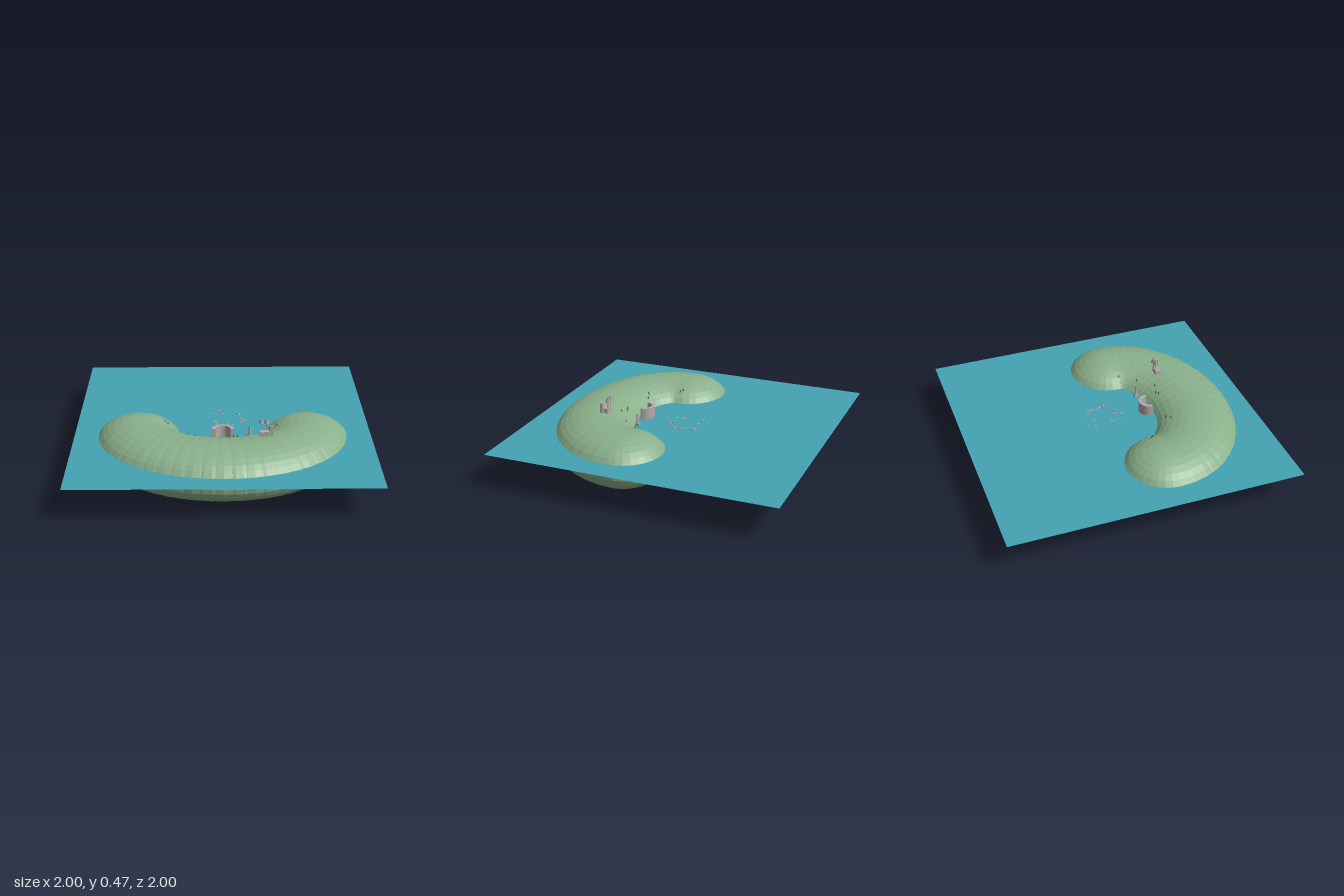
import * as THREE from 'three';

const WATER_Y = 0.247;

function material(name, color, extra = {}) {
  const m = new THREE.MeshStandardMaterial({ color, ...extra });
  m.name = name;
  return m;
}

export function createModel() {
  const water = material('water', 0x44a3b3, { side: THREE.DoubleSide });
  const grass = material('grass', 0x8ab08b, { flatShading: true });
  const stone = material('stone', 0xb4aba6, { flatShading: true });
  const roof = material('roof', 0x8c8688, { flatShading: true });
  const shrub = material('shrub', 0x4c6650, { flatShading: true });

  const model = new THREE.Group();
  model.name = 'crescentIsland';

  function add(parent, name, geometry, mat, x = 0, y = 0, z = 0) {
    const mesh = new THREE.Mesh(geometry, mat);
    mesh.name = name;
    mesh.position.set(x, y, z);
    parent.add(mesh);
    return mesh;
  }
  function group(name) {
    const g = new THREE.Group();
    g.name = name;
    model.add(g);
    return g;
  }

  // Flat sea surface
  add(model, 'sea', new THREE.PlaneGeometry(2, 2).rotateX(-Math.PI / 2), water, 0, WATER_Y, 0);

  // Island: overlapping flattened spheres along half an ellipse
  const island = group('island');
  const mound = new THREE.SphereGeometry(1, 32, 16).scale(0.292, 0.179, 0.292);
  const STEPS = 24;
  for (let i = 0; i <= STEPS; i++) {
    const a = (i / STEPS) * Math.PI;
    add(island, 'mound', mound, grass, 0.568 * Math.cos(a), 0.18, 0.2 + 0.4 * Math.sin(a));
  }

  // Curved harbour wall, open towards the island
  const arc = new THREE.Shape();
  arc.absarc(0, 0, 0.073, 0, Math.PI, false);
  arc.absarc(0, 0, 0.05, Math.PI, 0, true);
  const wall = new THREE.ExtrudeGeometry(arc, { depth: 0.08, bevelEnabled: false, curveSegments: 12 });
  wall.rotateX(-Math.PI / 2);
  add(model, 'harbourWall', wall, stone, 0, WATER_Y, 0.305);

  // Small beacon at the shore
  const beacon = group('beacon');
  beacon.position.set(0.18, WATER_Y, 0.278);
  add(beacon, 'beaconBase', new THREE.BoxGeometry(0.028, 0.02, 0.028), stone, 0, 0.01, 0);
  add(beacon, 'beaconShaft', new THREE.CylinderGeometry(0.007, 0.011, 0.05, 8), stone, 0, 0.045, 0);
  add(beacon, 'beaconCap', new THREE.ConeGeometry(0.011, 0.02, 8), roof, 0, 0.08, 0);

  // Hilltop shrine: plinth, two roofed posts and a standing slab
  const shrine = group('shrine');
  add(shrine, 'plinth', new THREE.BoxGeometry(0.062, 0.033, 0.036), stone, 0.266, 0.369, 0.466);
  for (const x of [0.249, 0.283]) {
    add(shrine, 'post', new THREE.CylinderGeometry(0.004, 0.004, 0.085, 8), stone, x, 0.4, 0.45);
    add(shrine, 'postRoof', new THREE.ConeGeometry(0.02, 0.032, 8), roof, x, 0.454, 0.45);
  }
  add(shrine, 'slab', new THREE.BoxGeometry(0.016, 0.07, 0.018), stone, 0.314, 0.397, 0.484);

  // Tiny shrubs along the inner slope
  const shrubs = group('shrubs');
  const bush = new THREE.ConeGeometry(0.008, 0.022, 6);
  const bushes = [[-0.39, 0.17], [-0.37, 0.185], [-0.23, 0.375], [-0.185, 0.36], [0.07, 0.405],
    [0.095, 0.395], [0.155, 0.41], [0.28, 0.32], [0.365, 0.215]];
  for (const [x, z] of bushes) {
    // Height of the mound surface, from the distance to the nearest centre
    let d = 1;
    for (const m of island.children) d = Math.min(d, Math.hypot(x - m.position.x, z - m.position.z));
    const y = 0.18 + 0.179 * Math.sqrt(Math.max(0, 1 - (d / 0.292) ** 2));
    add(shrubs, 'shrub', bush, shrub, x, y + 0.006, z);
  }

  // Broken planks floating in a rough ring: x, z, turn
  const planks = group('floatingPlanks');
  const plank = new THREE.BoxGeometry(0.022, 0.006, 0.009);
  const layout = [[-0.025, -0.16, 0.5], [-0.065, -0.11, 0], [0.003, -0.1, 0], [0.1, -0.115, -0.7],
    [0.12, -0.1, 1.4], [0.123, -0.077, 1.5], [0.13, -0.035, 1.5], [0.135, -0.012, 1.4],
    [0.148, 0.013, 0.2], [0.125, 0.04, 1.2], [0.068, 0.077, 0.6], [0.04, 0.07, 1.3],
    [0.02, 0.105, -1], [-0.042, 0.01, 0], [-0.048, 0.03, 0.2], [-0.042, 0.073, 0.5]];
  for (const [x, z, turn] of layout) {
    add(planks, 'plank', plank, stone, x, WATER_Y + 0.004, z).rotation.y = turn;
  }

  return model;
}
